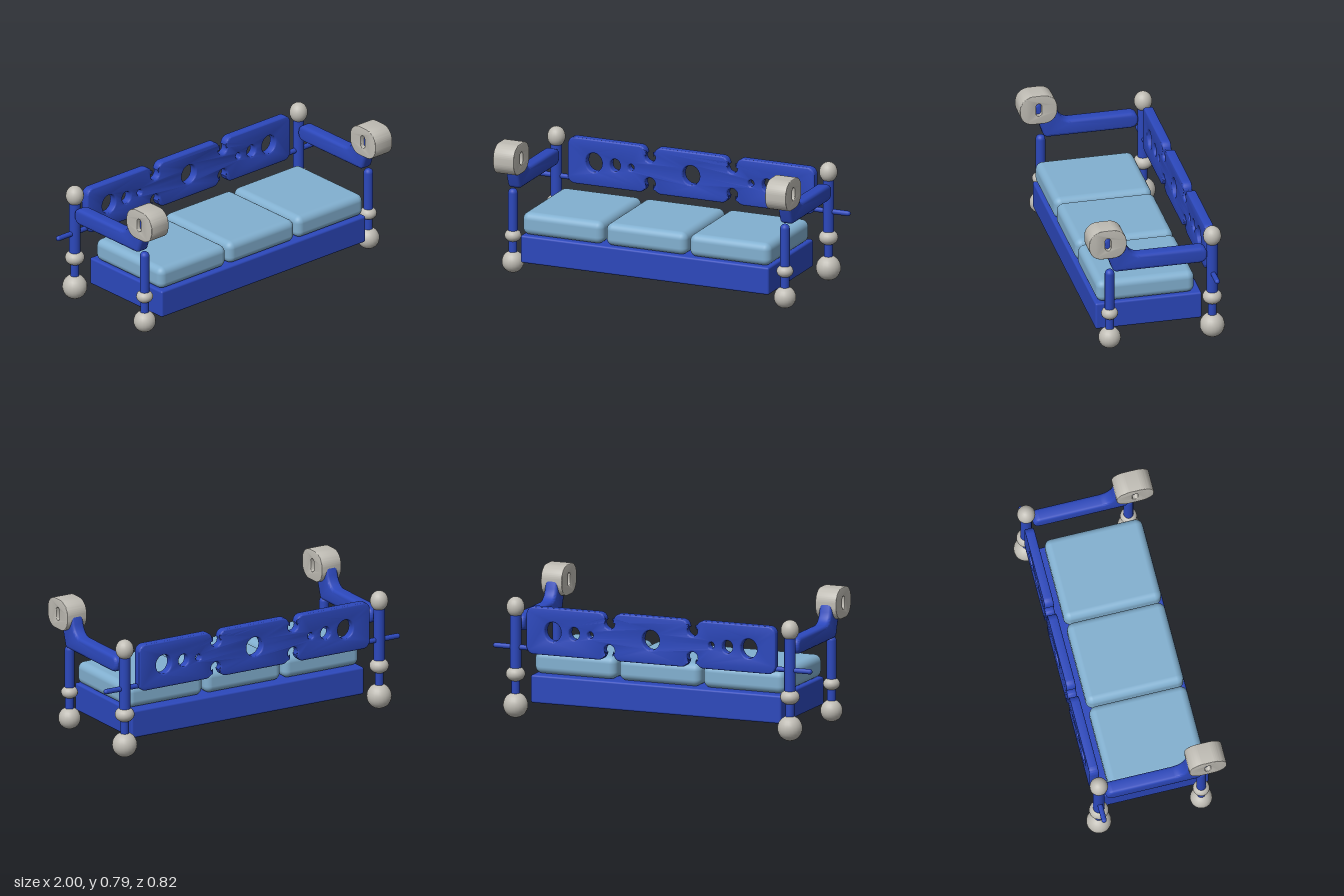
import * as THREE from 'three';
import { toCreasedNormals } from 'three/addons/utils/BufferGeometryUtils.js';
import { RoundedBoxGeometry } from 'three/addons/geometries/RoundedBoxGeometry.js';

const blue = new THREE.MeshStandardMaterial({ color: 0x2c48bc });
blue.name = 'blue frame';
const grey = new THREE.MeshStandardMaterial({ color: 0xbfbcb4 });
grey.name = 'warm grey';
const sky = new THREE.MeshStandardMaterial({ color: 0x82b0d0 });
sky.name = 'pale blue cushion';

function add(parent, name, geometry, material, x = 0, y = 0, z = 0) {
  const mesh = new THREE.Mesh(geometry, material);
  mesh.name = name;
  mesh.position.set(x, y, z);
  parent.add(mesh);
  return mesh;
}

// Extruded plate centred on its thickness, with bevelled edges inside the outline
function plate(shape, thickness, bevel, curveSegments = 12) {
  const geometry = new THREE.ExtrudeGeometry(shape, {
    depth: thickness - 2 * bevel, bevelThickness: bevel, bevelSize: bevel,
    bevelOffset: -bevel, bevelSegments: 3, curveSegments,
  });
  geometry.translate(0, 0, -thickness / 2 + bevel);
  return toCreasedNormals(geometry, 0.6);
}

function roundedRect(path, x0, y0, x1, y1, r) {
  path.absarc(x1 - r, y0 + r, r, -Math.PI / 2, 0);
  path.absarc(x1 - r, y1 - r, r, 0, Math.PI / 2);
  path.absarc(x0 + r, y1 - r, r, Math.PI / 2, Math.PI);
  path.absarc(x0 + r, y0 + r, r, Math.PI, Math.PI * 1.5);
  path.closePath();
  return path;
}

const knob = (parent, name, y, r, ry) =>
  add(parent, name, new THREE.SphereGeometry(r, 20, 14).scale(1, ry / r, 1), grey, 0, y, 0);

const rod = (parent, name, r, y0, y1) =>
  add(parent, name, new THREE.CylinderGeometry(r, r, y1 - y0, 20), blue, 0, (y0 + y1) / 2, 0);

// Three linked panels in one outline, with round notches between them
function backrestShape() {
  const x1 = 0.78, y0 = 0.388, y1 = 0.667, r = 0.045;
  const gap = 0.26, half = 0.025, nr = 0.033;
  const a = Math.asin(half / nr);
  const s = new THREE.Shape();
  s.absarc(-x1 + r, y0 + r, r, Math.PI, Math.PI * 1.5);
  for (const c of [-gap, gap]) {
    s.absarc(c - half - r, y0 + r, r, -Math.PI / 2, 0);
    s.absarc(c, 0.447, nr, Math.PI * 1.5 - a, -Math.PI / 2 + a, true);
    s.absarc(c + half + r, y0 + r, r, Math.PI, Math.PI * 1.5);
  }
  s.absarc(x1 - r, y0 + r, r, -Math.PI / 2, 0);
  s.absarc(x1 - r, y1 - r, r, 0, Math.PI / 2);
  for (const c of [gap, -gap]) {
    s.absarc(c + half + r, y1 - r, r, Math.PI / 2, Math.PI);
    s.absarc(c, 0.606, nr, Math.PI / 2 - a, -Math.PI * 1.5 + a, true);
    s.absarc(c - half - r, y1 - r, r, 0, Math.PI / 2);
  }
  s.absarc(-x1 + r, y1 - r, r, Math.PI / 2, Math.PI);
  s.closePath();

  // Oval openings: one in the middle, three shrinking ones on each side
  const holes = [[0, 0.054, 0.058]];
  for (const side of [-1, 1]) {
    holes.push([side * 0.614, 0.051, 0.057], [side * 0.48, 0.032, 0.037], [side * 0.379, 0.017, 0.019]);
  }
  for (const [x, rx, ry] of holes) {
    const hole = new THREE.Path();
    hole.absellipse(x, 0.528, rx, ry, 0, Math.PI * 2, true);
    s.holes.push(hole);
  }
  return s;
}

// Side outline of the armrest, horizontal axis is z
function armShape() {
  const s = new THREE.Shape();
  s.moveTo(-0.255, 0.502);
  s.lineTo(0.235, 0.502);
  s.quadraticCurveTo(0.258, 0.502, 0.266, 0.525);
  s.lineTo(0.316, 0.675);
  s.quadraticCurveTo(0.324, 0.72, 0.285, 0.745);
  s.quadraticCurveTo(0.22, 0.775, 0.197, 0.725);
  s.lineTo(0.178, 0.662);
  s.quadraticCurveTo(0.157, 0.598, 0.1, 0.598);
  s.lineTo(-0.255, 0.598);
  s.quadraticCurveTo(-0.297, 0.594, -0.298, 0.55);
  s.quadraticCurveTo(-0.297, 0.506, -0.255, 0.502);
  return s;
}

function buildSide(side) {
  const group = new THREE.Group();
  group.name = side > 0 ? 'leftSide' : 'rightSide';
  group.position.x = side * 0.86;

  // Back post with ball foot, collar and finial
  const back = new THREE.Group();
  back.name = 'backPost';
  back.position.z = -0.333;
  knob(back, 'backFoot', 0.076, 0.073, 0.074);
  rod(back, 'backSpindle', 0.025, 0.1, 0.27);
  knob(back, 'backCollar', 0.259, 0.057, 0.045);
  rod(back, 'backUpright', 0.033, 0.27, 0.61);
  knob(back, 'finial', 0.652, 0.053, 0.06);

  // Front post with a rounded top
  const front = new THREE.Group();
  front.name = 'frontPost';
  front.position.z = 0.275;
  knob(front, 'frontFoot', 0.067, 0.065, 0.065);
  rod(front, 'frontSpindle', 0.025, 0.09, 0.23);
  knob(front, 'frontCollar', 0.224, 0.049, 0.038);
  add(front, 'frontUpright', new THREE.CapsuleGeometry(0.028, 0.26, 6, 20), blue, 0, 0.35, 0);

  // Armrest and slotted end block
  add(group, 'armrest', plate(armShape(), 0.08, 0.018), blue).rotation.y = -Math.PI / 2;
  const block = roundedRect(new THREE.Shape(), 0.19, 0.61, 0.41, 0.79, 0.078);
  block.holes.push(roundedRect(new THREE.Path(), 0.282, 0.662, 0.316, 0.74, 0.0169));
  add(group, 'armBlock', plate(block, 0.13, 0.003), grey).rotation.y = -Math.PI / 2;

  // Peg running from the backrest out through the post
  const peg = add(group, 'sidePeg', new THREE.CapsuleGeometry(0.0155, 0.209, 4, 14), blue, side * 0.02, 0.417, -0.333);
  peg.rotation.z = Math.PI / 2;

  group.add(back, front);
  return group;
}

export function createModel() {
  const model = new THREE.Group();
  model.name = 'threeSeatBench';

  add(model, 'base', new RoundedBoxGeometry(1.57, 0.165, 0.63, 3, 0.012), blue, 0, 0.1675, 0.025);

  for (const i of [-1, 0, 1]) {
    add(model, 'cushion', new RoundedBoxGeometry(0.512, 0.135, 0.58, 4, 0.042), sky, i * 0.528, 0.317, 0.04);
  }

  add(model, 'backrest', plate(backrestShape(), 0.055, 0.009, 10), blue, 0, 0, -0.338);

  model.add(buildSide(1), buildSide(-1));
  return model;
}
